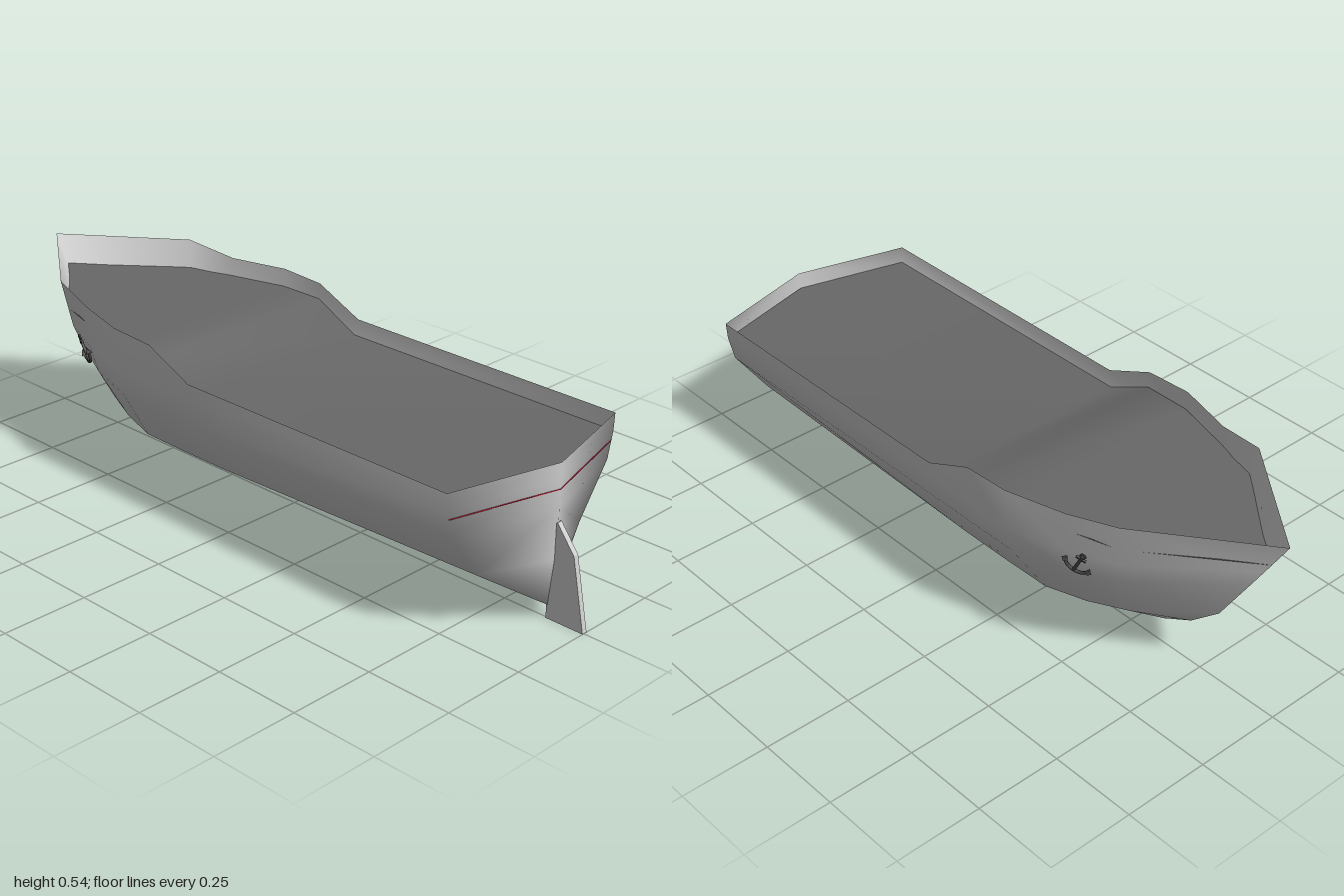
import * as THREE from 'three';
import { mergeVertices } from 'three/addons/utils/BufferGeometryUtils.js';

const mat = (name, color, side = THREE.FrontSide) => {
  const m = new THREE.MeshStandardMaterial({ color, side });
  m.name = name;
  return m;
};
const hullGrey = mat('hull grey', 0xcccccc, THREE.DoubleSide);
const deckGrey = mat('deck grey', 0x686868, THREE.DoubleSide);
const ironGrey = mat('iron grey', 0x484848);
const lineRed = mat('line red', 0xd0203c);

function mesh(name, geometry, material) {
  const m = new THREE.Mesh(geometry, material);
  m.name = name;
  return m;
}

// Smooth surface from a list of triangles, skipping collapsed ones
function surface(tris) {
  const good = tris.filter((t) => new THREE.Triangle(...t).getArea() > 1e-7);
  const g = new THREE.BufferGeometry().setFromPoints(good.flat());
  const merged = mergeVertices(g, 1e-4);
  merged.computeVertexNormals();
  return merged;
}

// Hull lines from stern to bow, each point is [x, y, z]
function hullLines() {
  const keel = [[0, 0.035, 0.89], [0, 0.035, -0.07], [0, 0.03, -0.22], [0, 0.035, -0.4],
    [0, 0.055, -0.53], [0, 0.08, -0.62], [0, 0.13, -0.71]];
  const chine = [[0.2, 0.17, 0.82], [0.2, 0.147, -0.07], [0.2, 0.147, -0.22], [0.198, 0.148, -0.38],
    [0.165, 0.155, -0.5], [0.125, 0.17, -0.61], [0, 0.21, -0.8]];
  const bilge = [[0.3, 0.31, 0.82], [0.3, 0.31, -0.07], [0.3, 0.31, -0.22], [0.3, 0.31, -0.36],
    [0.25, 0.31, -0.52], [0.195, 0.32, -0.64], [0, 0.355, -0.89]];
  const side = [[0.318, 0.385, 0.82], [0.318, 0.385, -0.07], [0.318, 0.385, -0.22], [0.318, 0.385, -0.36],
    [0.27, 0.39, -0.53], [0.222, 0.4, -0.66], [0, 0.42, -0.93]];
  const rim = [[0.321, 0.433, 0.82], [0.321, 0.433, -0.07], [0.321, 0.5, -0.22], [0.321, 0.507, -0.36],
    [0.275, 0.508, -0.53], [0.243, 0.535, -0.68], [0, 0.535, -1]];
  // Each line starts on the stern centre line, closing the V-shaped transom
  return [keel, chine, bilge, side, rim].map((line, k) => [[0, line[0][1], k ? 0.904 : 0.89], ...line]);
}

function buildHull() {
  const lines = hullLines();
  const tris = [];
  for (const s of [1, -1]) {
    const p = (k, j) => {
      const [x, y, z] = lines[k][j];
      return new THREE.Vector3(s * x, y, z);
    };
    const add = (a, b, c) => tris.push(s > 0 ? [a, b, c] : [a, c, b]);
    for (let k = 0; k < lines.length - 1; k++) {
      for (let j = 0; j < lines[k].length - 1; j++) {
        add(p(k, j), p(k, j + 1), p(k + 1, j));
        add(p(k, j + 1), p(k + 1, j + 1), p(k + 1, j));
      }
    }
  }
  return mesh('hull', surface(tris), hullGrey);
}

// Deck with a raised foredeck; rows are [half width, y, z]
function buildDeck() {
  const rows = [[0, 0.385, 0.9], [0.317, 0.385, 0.818], [0.317, 0.385, -0.08], [0.317, 0.455, -0.22],
    [0.317, 0.455, -0.36], [0.271, 0.455, -0.53], [0.23, 0.455, -0.667], [0, 0.455, -0.952]];
  const tris = [];
  const p = (s, [w, y, z]) => new THREE.Vector3(s * w, y, z);
  for (let i = 0; i < rows.length - 1; i++) {
    const [a, b] = [rows[i], rows[i + 1]];
    tris.push([p(-1, a), p(1, a), p(-1, b)], [p(1, a), p(1, b), p(-1, b)]);
  }
  return mesh('deck', surface(tris), deckGrey);
}

// Flat rudder blade behind the keel
function buildRudder() {
  const outline = [[0.885, 0], [1, 0], [0.96, 0.2], [0.905, 0.272], [0.885, 0.265]];
  const shape = new THREE.Shape(outline.map(([z, y]) => new THREE.Vector2(z, y)));
  const g = new THREE.ExtrudeGeometry(shape, { depth: 0.016, bevelEnabled: false });
  g.rotateY(-Math.PI / 2).translate(0.011, 0, 0);
  return mesh('rudder', g, hullGrey);
}

// Small anchor lying on the bow plating
function buildAnchor(s) {
  const anchor = new THREE.Group();
  anchor.name = s > 0 ? 'leftAnchor' : 'rightAnchor';
  const shank = mesh('shank', new THREE.CylinderGeometry(0.004, 0.005, 0.07, 8), ironGrey);
  const ring = mesh('ring', new THREE.TorusGeometry(0.007, 0.0025, 6, 12), ironGrey);
  ring.position.y = 0.04;
  const stock = mesh('stock', new THREE.BoxGeometry(0.028, 0.006, 0.006), ironGrey);
  stock.position.y = 0.025;
  const arms = mesh('arms', new THREE.TorusGeometry(0.034, 0.0045, 6, 16, Math.PI * 0.84), ironGrey);
  arms.rotation.z = Math.PI * 1.08;
  anchor.add(shank, ring, stock, arms);
  for (const t of [1, -1]) {
    const fluke = mesh('fluke', new THREE.ConeGeometry(0.009, 0.02, 4), ironGrey);
    fluke.position.set(t * 0.033, -0.002, 0);
    fluke.rotation.z = t * 0.1;
    anchor.add(fluke);
  }
  const n = new THREE.Vector3(s * 0.9, -0.25, -0.34).normalize();
  anchor.position.set(s * 0.258, 0.367, -0.56).addScaledVector(n, 0.004);
  anchor.lookAt(anchor.position.clone().add(n));
  anchor.rotateZ(-s * 0.45);
  return anchor;
}

// Fine line across one half of the transom
function buildSternLine(s) {
  const from = new THREE.Vector3(0, 0.361, 0.904);
  const to = new THREE.Vector3(s * 0.312, 0.361, 0.82);
  const line = mesh('sternLine', new THREE.BoxGeometry(from.distanceTo(to), 0.002, 0.003), lineRed);
  line.position.lerpVectors(from, to, 0.5);
  line.rotation.y = s * Math.atan2(0.084, 0.312);
  return line;
}

export function createModel() {
  const boat = new THREE.Group();
  boat.name = 'boat';
  boat.add(buildHull(), buildDeck(), buildRudder());
  for (const s of [1, -1]) boat.add(buildAnchor(s), buildSternLine(s));
  return boat;
}
